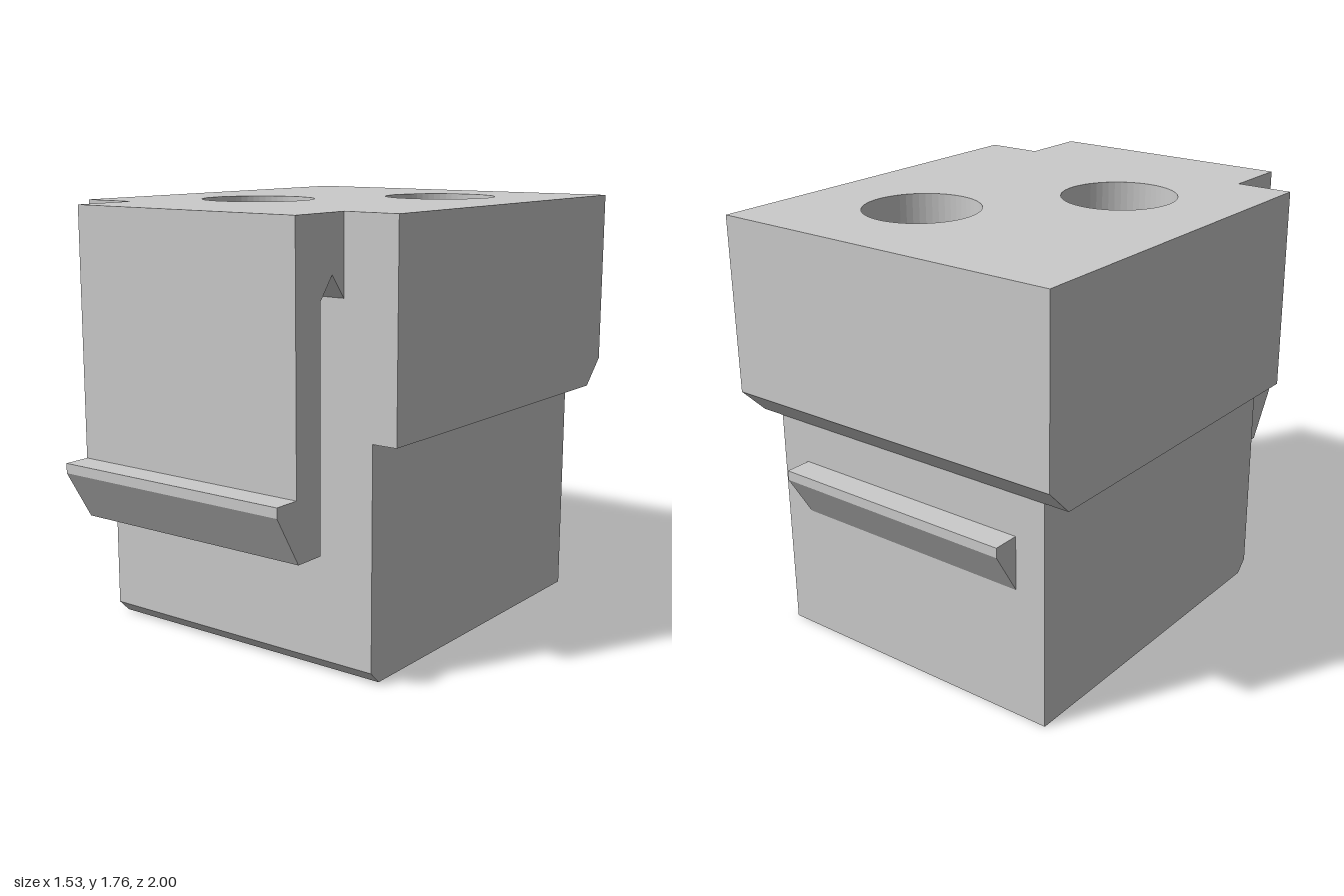
import * as THREE from 'three';

const material = new THREE.MeshStandardMaterial({ color: 0xcccccc, flatShading: true });

// Hole centres in plan, as (x, -z)
const A = new THREE.Vector2(0.245, 0.475);
const B = new THREE.Vector2(-0.25, -0.145);

const circle = (c, r) => new THREE.Path().absarc(c.x, c.y, r, 0, Math.PI * 2, false);

// Two round pockets joined by a neck with rounded lips
function pocketPath() {
  const r = 0.373, a = 0.73, t = 0.097;
  const th = Math.atan2(A.y - B.y, A.x - B.x);
  const at = (c, ang) => new THREE.Vector2(c.x + r * Math.cos(ang), c.y + r * Math.sin(ang));
  // point reached by leaving the arc along its tangent
  const handle = (c, ang, s) => at(c, ang).add(new THREE.Vector2(-Math.sin(ang), Math.cos(ang)).multiplyScalar(s * t));
  const path = new THREE.Path();
  const lobe = (c, mid, next, nextMid) => {
    const end = mid - a, start = nextMid + a;
    path.absarc(c.x, c.y, r, mid + a, end + Math.PI * 2, false);
    const h1 = handle(c, end, 1), h2 = handle(next, start, -1), p = at(next, start);
    path.bezierCurveTo(h1.x, h1.y, h2.x, h2.y, p.x, p.y);
  };
  lobe(A, th + Math.PI, B, th);
  lobe(B, th, A, th + Math.PI);
  return path;
}

// Horizontal slab of the body with holes; optional rule reshapes its vertices
function slab(name, y0, y1, halfX, back, holes, rule) {
  const front = 0.61;
  const shape = new THREE.Shape([
    new THREE.Vector2(-halfX, -front), new THREE.Vector2(halfX, -front),
    new THREE.Vector2(halfX, -back), new THREE.Vector2(-halfX, -back),
  ]);
  shape.holes.push(...holes);
  const geo = new THREE.ExtrudeGeometry(shape, { depth: y1 - y0, bevelEnabled: false, curveSegments: 28 });
  geo.rotateX(-Math.PI / 2).translate(0, y0, 0);
  if (rule) {
    const p = geo.attributes.position;
    for (let i = 0; i < p.count; i++) p.setZ(i, rule(p.getY(i), p.getZ(i)));
    geo.computeVertexNormals();
  }
  const mesh = new THREE.Mesh(geo, material);
  mesh.name = name;
  return mesh;
}

// Side profile of (z, y) points, extruded across the width
function crossBar(name, halfX, points) {
  const shape = new THREE.Shape(points.map(([z, y]) => new THREE.Vector2(z, y)));
  const geo = new THREE.ExtrudeGeometry(shape, { depth: halfX * 2, bevelEnabled: false });
  geo.rotateY(-Math.PI / 2).translate(halfX, 0, 0);
  const mesh = new THREE.Mesh(geo, material);
  mesh.name = name;
  return mesh;
}

export function createModel() {
  const group = new THREE.Group();
  group.name = 'clipHousing';
  const pocket = () => [pocketPath()];
  const round = (r) => [circle(A, r), circle(B, r)];

  // Lower body, with a chamfer along the front bottom edge
  group.add(slab('bottomChamfer', 0, 0.05, 0.66, -0.89, pocket(),
    (y, z) => (y < 0.01 && z > 0.6 ? 0.56 : z)));
  group.add(slab('lowerBody', 0.05, 0.93, 0.66, -0.89, pocket()));

  // Wider upper body, with a chamfer under its back overhang
  group.add(slab('backChamfer', 0.93, 1.04, 0.765, -1, pocket(),
    (y, z) => (y < 0.94 && z < -0.99 ? -0.89 : z)));
  group.add(slab('upperBody', 1.04, 1.2, 0.765, -1, pocket()));
  group.add(slab('holeFloor', 1.2, 1.4, 0.765, -1, round(0.11)));
  group.add(slab('counterbores', 1.4, 1.76, 0.765, -1, round(0.233)));

  // Hanging spring arm with a hook at the front
  group.add(crossBar('frontClip', 0.53, [
    [0.61, 1.76], [0.61, 1.45], [0.68, 1.54], [0.75, 1.45], [0.75, 0.52],
    [0.88, 0.52], [1, 0.72], [1, 0.76], [0.89, 0.76], [0.89, 1.76],
  ]));

  // Fixed catch on the back wall
  group.add(crossBar('backCatch', 0.53, [
    [-0.89, 0.76], [-1, 0.76], [-1, 0.72], [-0.89, 0.54],
  ]));
  return group;
}
